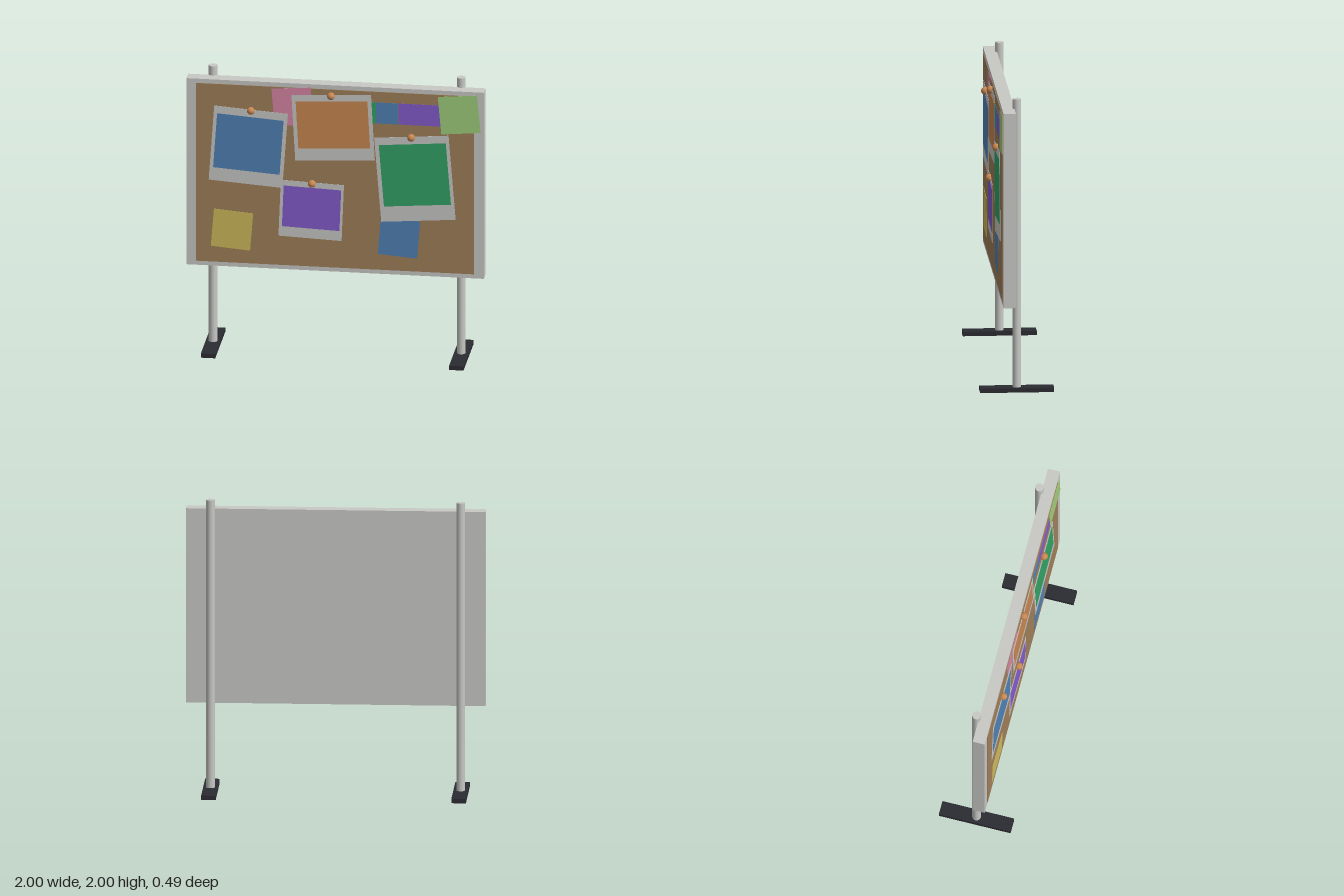
import * as THREE from 'three';

const mat = (name, color) => {
  const m = new THREE.MeshStandardMaterial({ color });
  m.name = name;
  return m;
};

export function createModel() {
  const group = new THREE.Group();
  const grey = mat('light grey', 0xc8c8c5);
  const dark = mat('dark rubber', 0x2b2b32);
  const cork = mat('cork brown', 0xa07f5a);
  const blue = mat('blue', 0x5082b5);
  const orange = mat('copper orange', 0xca8852);
  const green = mat('green', 0x33a366);
  const purple = mat('purple', 0x855cce);
  const yellow = mat('yellow', 0xcebb5c);
  const pink = mat('pink', 0xd786a5);
  const lime = mat('light green', 0xa0ce7b);

  const add = (name, geometry, material, x, y, z, turn = 0) => {
    const mesh = new THREE.Mesh(geometry, material);
    mesh.name = name;
    mesh.position.set(x, y, z);
    mesh.rotation.z = turn;
    group.add(mesh);
    return mesh;
  };
  const box = (name, material, w, h, d, x, y, z, turn) =>
    add(name, new THREE.BoxGeometry(w, h, d), material, x, y, z, turn);
  // thin sheet whose front lies at the given depth
  const sheet = (name, material, w, h, x, y, front, turn) =>
    box(name, material, w, h, 0.002, x, y, front - 0.001, turn);

  // stand: two posts on flat feet
  for (const [side, x] of [['left', 0.835], ['right', -0.835]]) {
    add(side + 'Post', new THREE.CylinderGeometry(0.029, 0.029, 1.97, 20), grey, x, 1.015, 0);
    box(side + 'Foot', dark, 0.097, 0.03, 0.494, x, 0.015, 0);
  }

  // board with cork face
  box('boardFrame', grey, 2, 1.33, 0.083, 0, 1.27, 0.0575);
  box('corkPanel', cork, 1.868, 1.27, 0.004, 0, 1.27, 0.1005);

  // strip of small pictures
  [green, blue, purple, purple].forEach((m, i) =>
    sheet('stripPicture', m, 0.149, 0.15, 0.2 + i * 0.15, 1.755, 0.1045));

  // square notes
  const notes = [
    ['yellowNote', yellow, -0.693, 0.871, -0.08],
    ['blueNote', blue, 0.43, 0.872, -0.08],
    ['pinkNote', pink, -0.285, 1.77, 0.08],
    ['lightGreenNote', lime, 0.835, 1.77, 0.09],
  ];
  for (const [name, m, x, y, turn] of notes) sheet(name, m, 0.265, 0.267, x, y, 0.1065, turn);

  // framed photos: paper size, centre, tilt, picture size and centre, pin
  const photos = [
    ['purplePhoto', purple, 0.425, 0.4, -0.16, 1.037, -0.04, 0.387, 0.291, -0.1575, 1.053, -0.155, 1.23],
    ['bluePhoto', blue, 0.497, 0.532, -0.583, 1.47, -0.07, 0.448, 0.387, -0.5825, 1.49, -0.565, 1.73],
    ['orangePhoto', orange, 0.536, 0.468, -0.0125, 1.636, 0.055, 0.483, 0.335, -0.014, 1.656, -0.027, 1.863],
    ['greenPhoto', green, 0.502, 0.6, 0.5375, 1.3, 0.08, 0.452, 0.438, 0.5375, 1.328, 0.513, 1.594],
  ];
  photos.forEach(([name, m, w, h, x, y, turn, pw, ph, px, py, pinX, pinY], i) => {
    const front = 0.1085 + i * 0.0002;
    sheet(name + 'Paper', grey, w, h, x, y, front, turn);
    sheet(name + 'Picture', m, pw, ph, px, py, front + 0.0015, turn);
    add(name + 'Pin', new THREE.SphereGeometry(0.026, 20, 14), orange, pinX, pinY, 0.115);
  });

  return group;
}
